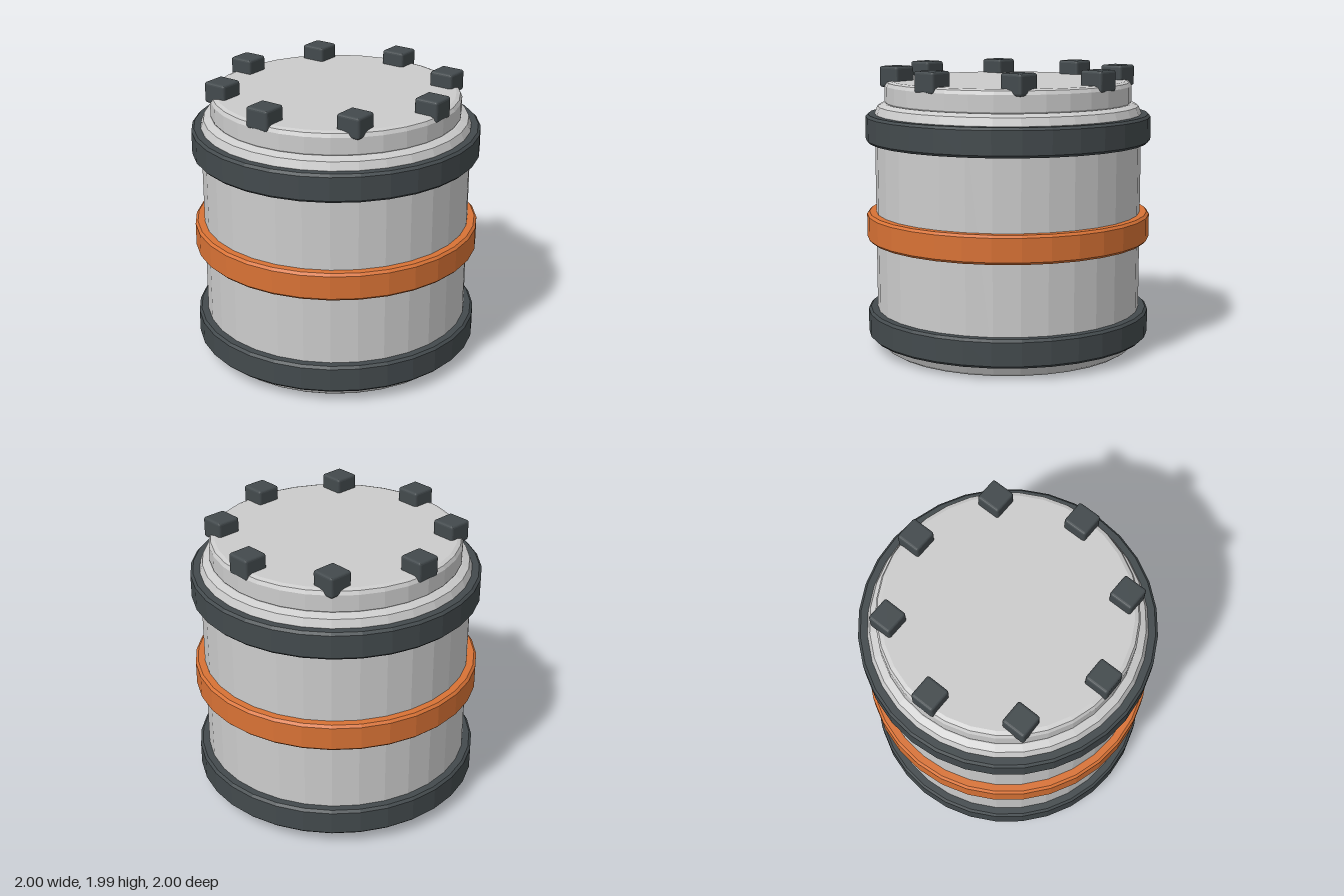
import * as THREE from 'three';
import { RoundedBoxGeometry } from 'three/addons/geometries/RoundedBoxGeometry.js';

const SIDES = 32;

const paint = (color) => new THREE.MeshStandardMaterial({ color, flatShading: true });

// Faceted solid of revolution from [radius, height] pairs, listed bottom to top
function turned(name, profile, material) {
  const points = profile.map(([r, y]) => new THREE.Vector2(r, y));
  const mesh = new THREE.Mesh(new THREE.LatheGeometry(points, SIDES), material);
  mesh.name = name;
  return mesh;
}

export function createModel() {
  const grey = paint(0xcccccc);
  const dark = paint(0x434a4d);
  const orange = paint(0xd87235);
  const model = new THREE.Group();
  model.name = 'drum';

  // Main drum with rounded shoulders
  model.add(turned('body', [
    [0, 0], [0.87, 0], [0.9, 0.02], [0.935, 0.085],
    [0.935, 1.665], [0.915, 1.715], [0.87, 1.735], [0, 1.735],
  ], grey));

  // Lid with a bevelled rim
  model.add(turned('lid', [
    [0, 1.73], [0.855, 1.73], [0.865, 1.745], [0.865, 1.855],
    [0.852, 1.88], [0.825, 1.89], [0, 1.89],
  ], grey));

  // Hoops around the drum
  const hoop = (name, y, material) => {
    const inner = 0.92, outer = 1, h = 0.0975, b = 0.017;
    const mesh = turned(name, [
      [inner, -h], [outer - b, -h], [outer, -h + b],
      [outer, h - b], [outer - b, h], [inner, h],
    ], material);
    mesh.position.y = y;
    model.add(mesh);
  };
  hoop('lowerBand', 0.183, dark);
  hoop('middleBand', 0.872, orange);
  hoop('upperBand', 1.562, dark);

  // Eight square bolts around the lid, all aligned with the axes
  const bolts = new THREE.Group();
  bolts.name = 'lidBolts';
  const boltGeometry = new RoundedBoxGeometry(0.174, 0.145, 0.174, 2, 0.018);
  for (let i = 0; i < 8; i++) {
    const angle = (i * Math.PI) / 4;
    const bolt = new THREE.Mesh(boltGeometry, dark);
    bolt.name = 'lidBolt';
    bolt.position.set(0.778 * Math.sin(angle), 1.9175, 0.778 * Math.cos(angle));
    bolts.add(bolt);
  }
  model.add(bolts);

  return model;
}
